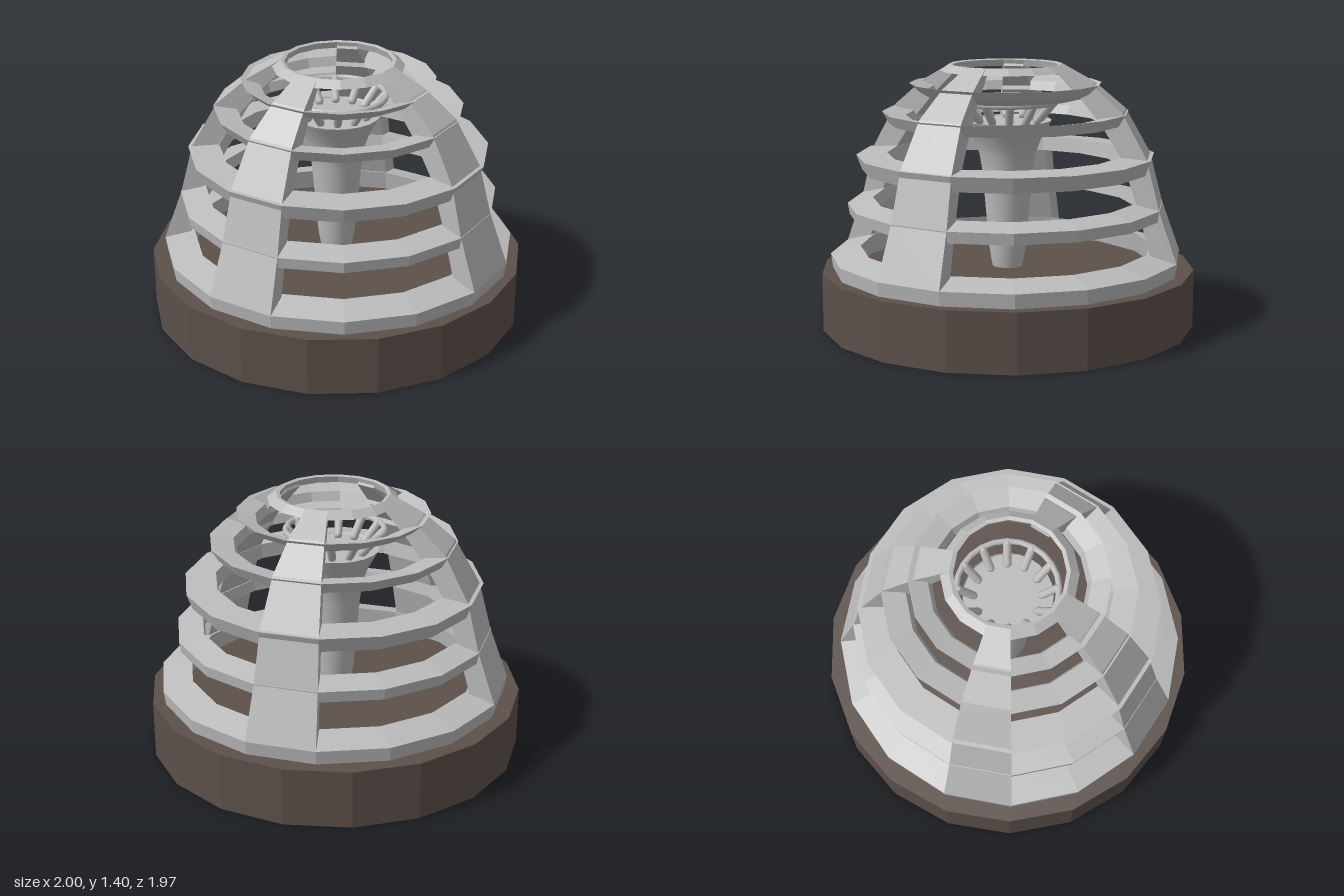
import * as THREE from 'three';

const RAD = Math.PI / 180;
const pts = list => list.map(([x, y]) => new THREE.Vector2(x, y));

// Faceted copy of a geometry
function flat(geometry) {
  const g = geometry.index ? geometry.toNonIndexed() : geometry;
  g.computeVertexNormals();
  return g;
}

export function createModel() {
  const model = new THREE.Group();
  const brown = new THREE.MeshStandardMaterial({ color: 0x5c504a, side: THREE.DoubleSide });
  brown.name = 'darkBrown';
  const grey = new THREE.MeshStandardMaterial({ color: 0xbcbcbc, side: THREE.DoubleSide });
  grey.name = 'paleGrey';

  const add = (parent, name, geometry, material) => {
    const mesh = new THREE.Mesh(geometry, material);
    mesh.name = name;
    parent.add(mesh);
    return mesh;
  };

  // Base: hollow 18-sided drum, closed on top and open below
  const base = new THREE.Group();
  base.name = 'base';
  model.add(base);
  add(base, 'baseWall', flat(new THREE.CylinderGeometry(1, 1, 0.31, 18, 1, true, 10 * RAD)), brown)
    .position.y = 0.155;
  const lid = add(base, 'baseLid', new THREE.CircleGeometry(1, 18), brown);
  lid.rotation.x = -Math.PI / 2;
  lid.position.y = 0.309;

  // Dome cage: 16-sided rings joined by four uneven ribs
  const dome = new THREE.Group();
  dome.name = 'domeCage';
  dome.position.set(0.01, 0, 0.01);
  model.add(dome);

  // Ring sections: outer bottom, outer top lip, inner top, inner bottom
  const rings = [
    [[0.93, 0.31], [0.94, 0.385], [0.78, 0.425], [0.80, 0.312]],
    [[0.835, 0.60], [0.845, 0.66], [0.71, 0.69], [0.70, 0.625]],
    [[0.765, 0.84], [0.795, 0.92], [0.63, 0.93], [0.62, 0.85]],
    [[0.62, 1.09], [0.655, 1.15], [0.53, 1.13], [0.51, 1.08]],
    [[0.455, 1.25], [0.51, 1.30], [0.41, 1.27], [0.39, 1.22]],
    [[0.345, 1.365], [0.30, 1.40], [0.28, 1.395], [0.29, 1.36]],
  ];
  for (const section of rings) {
    add(dome, 'domeRing', flat(new THREE.LatheGeometry(pts([...section, section[0]]), 16)), grey);
  }

  // Ribs: one facet of the dome wide, with flat cheeks
  const ribSection = [
    [0.93, 0.31], [0.942, 0.385], [0.842, 0.66], [0.775, 0.92], [0.64, 1.16], [0.475, 1.30], [0.30, 1.40],
    [0.28, 1.36], [0.42, 1.22], [0.53, 1.09], [0.64, 0.92], [0.72, 0.69], [0.80, 0.42], [0.82, 0.312],
  ];
  const step = 22.5 * RAD;
  for (const start of [157.5, 45, -45, -112.5]) {
    const rib = new THREE.Group();
    rib.name = 'domeRib';
    dome.add(rib);
    const phi = start * RAD;
    add(rib, 'ribFaces', flat(new THREE.LatheGeometry(pts([...ribSection, ribSection[0]]), 1, phi, step)), grey);
    for (const angle of [phi, phi + step]) {
      const cheek = new THREE.ShapeGeometry(new THREE.Shape(pts(ribSection)));
      add(rib, 'ribCheek', cheek, grey).rotation.y = angle - Math.PI / 2;
    }
  }

  // Central column flaring into a cup
  const column = new THREE.Group();
  column.name = 'column';
  model.add(column);
  const columnProfile = [
    [0.075, 0.28], [0.085, 0.33], [0.10, 0.42], [0.117, 0.62], [0.134, 0.82],
    [0.15, 0.92], [0.18, 1.0], [0.225, 1.08], [0.235, 1.10],
  ];
  add(column, 'columnBody', new THREE.LatheGeometry(pts(columnProfile), 24), grey);
  const plate = add(column, 'cupPlate', new THREE.CircleGeometry(0.23, 24), grey);
  plate.rotation.x = -Math.PI / 2;
  plate.position.y = 1.09;
  const plug = add(column, 'columnPlug', new THREE.CircleGeometry(0.078, 24), grey);
  plug.rotation.x = Math.PI / 2;
  plug.position.y = 0.30;

  // Rim ring held by twelve slanted pegs
  const rim = add(column, 'rimRing', new THREE.TorusGeometry(0.26, 0.016, 8, 24), grey);
  rim.rotation.x = Math.PI / 2;
  rim.position.y = 1.2;
  const up = new THREE.Vector3(0, 1, 0);
  for (let i = 0; i < 12; i++) {
    const a = i * 30 * RAD;
    const inner = new THREE.Vector3(Math.sin(a) * 0.175, 1.105, Math.cos(a) * 0.175);
    const outer = new THREE.Vector3(Math.sin(a) * 0.25, 1.195, Math.cos(a) * 0.25);
    const dir = outer.clone().sub(inner);
    const peg = add(column, 'rimPeg', new THREE.CapsuleGeometry(0.022, dir.length(), 3, 8), grey);
    peg.position.copy(inner).lerp(outer, 0.5);
    peg.quaternion.setFromUnitVectors(up, dir.normalize());
  }

  return model;
}
